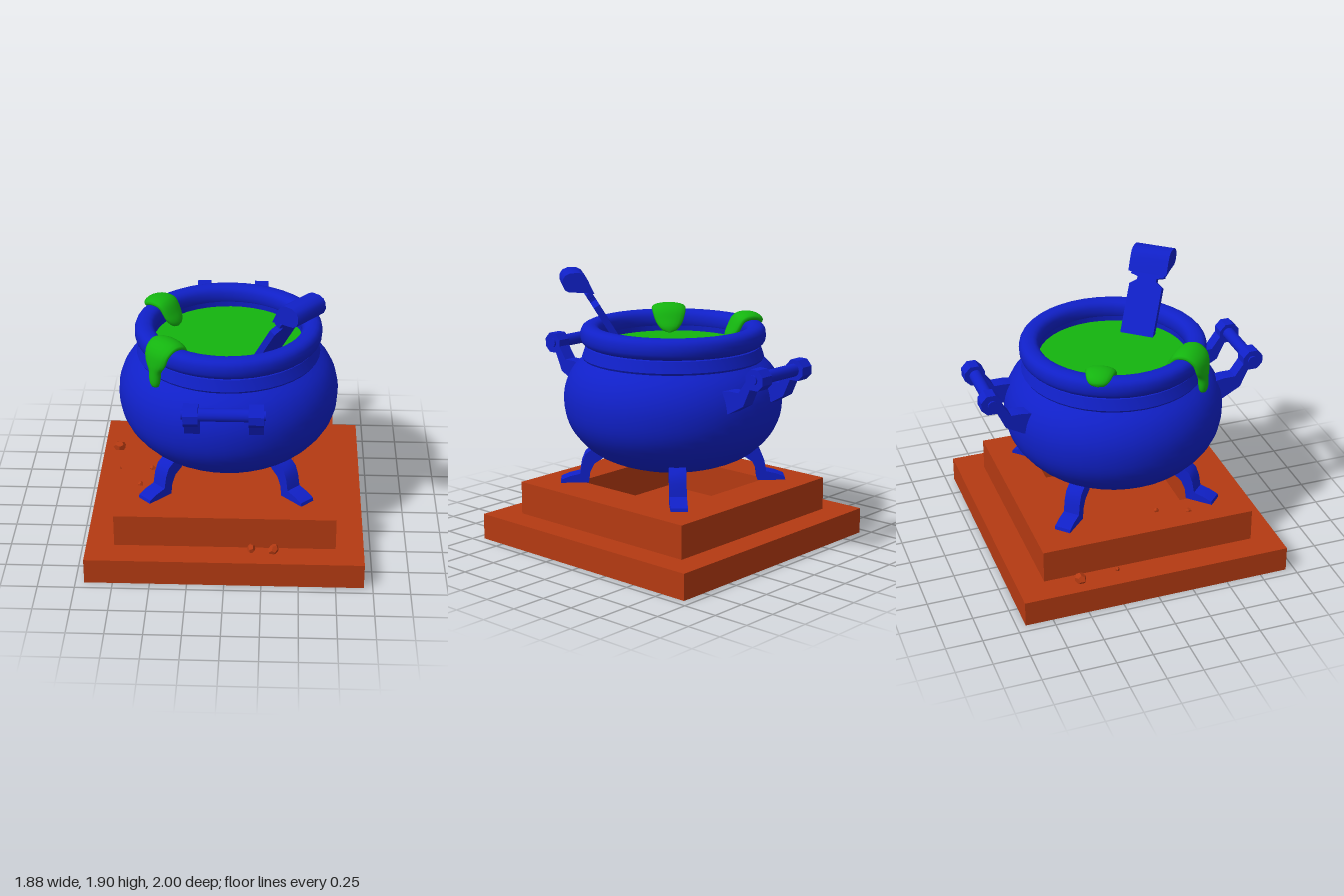
import * as THREE from 'three';
import { toCreasedNormals } from 'three/addons/utils/BufferGeometryUtils.js';

const blue = new THREE.MeshStandardMaterial({ color: 0x1020c8 });
const brown = new THREE.MeshStandardMaterial({ color: 0xb43a12 });
const green = new THREE.MeshStandardMaterial({ color: 0x14b40f });

const toPoints = (list) => list.map(([x, y]) => new THREE.Vector2(x, y));

function addMesh(parent, name, geometry, material) {
  const mesh = new THREE.Mesh(geometry, material);
  mesh.name = name;
  parent.add(mesh);
  return mesh;
}

// Outline in (outward, up), given a width and centred on it
function slab(outline, width, crease = 0.6) {
  const geo = new THREE.ExtrudeGeometry(new THREE.Shape(toPoints(outline)), { depth: width, bevelEnabled: false });
  geo.translate(0, 0, -width / 2);
  return toCreasedNormals(geo, crease);
}

function lathe(profile, smooth = true, crease = 0.7) {
  const pts = smooth
    ? new THREE.SplineCurve(toPoints(profile)).getPoints(28).map((p) => (p.x = Math.max(p.x, 0), p))
    : toPoints(profile);
  return toCreasedNormals(new THREE.LatheGeometry(pts, 40), crease);
}

// Rounded strip of slime swept along points of [radius, height, half width]
function drip(path, thickness) {
  const curve = new THREE.CatmullRomCurve3(path.map((p) => new THREE.Vector3(...p)));
  const rows = 32, sides = 16, pos = [], index = [];
  for (let i = 0; i <= rows; i++) {
    const t = i / rows, p = curve.getPoint(t), d = curve.getTangent(t);
    const len = Math.hypot(d.x, d.y) || 1;
    const nx = -d.y / len, ny = d.x / len;
    const round = Math.sqrt(Math.max(0, 1 - Math.abs(2 * t - 1) ** 8));
    for (let j = 0; j < sides; j++) {
      const a = (j / sides) * Math.PI * 2, h = Math.cos(a) * thickness * round;
      pos.push(p.x + nx * h, p.y + ny * h, Math.sin(a) * p.z * round);
      if (i === rows) continue;
      const k = i * sides + j, m = i * sides + ((j + 1) % sides);
      index.push(k, m, k + sides, m, m + sides, k + sides);
    }
  }
  const geo = new THREE.BufferGeometry();
  geo.setAttribute('position', new THREE.Float32BufferAttribute(pos, 3));
  geo.setIndex(index);
  geo.computeVertexNormals();
  return geo;
}

// Turns local +x towards the horizontal direction (x, z)
const face = (object, x, z) => { object.rotation.y = Math.atan2(-z, x); };

function addBase(root) {
  addMesh(root, 'lowerStep', new THREE.BoxGeometry(1.88, 0.18, 1.88).translate(0, 0.09, 0), brown);
  const square = (r) => toPoints([[-r, -r], [r, -r], [r, r], [-r, r]]);
  const shape = new THREE.Shape(square(0.75));
  shape.holes.push(new THREE.Path(square(0.46)));
  const step = new THREE.ExtrudeGeometry(shape, { depth: 0.23, bevelEnabled: false });
  addMesh(root, 'upperStep', step.rotateX(-Math.PI / 2).translate(0, 0.18, 0), brown);

  // Loose chips: x, y, z, size
  const stone = brown.clone();
  stone.flatShading = true;
  [[-0.83, 0.205, -0.52, 0.05], [-0.79, 0.185, -0.245, 0.02], [0.18, 0.2, 0.79, 0.036],
    [0.33, 0.2, 0.8, 0.045], [-0.6, 0.412, 0.34, 0.025], [-0.53, 0.412, 0.13, 0.025]].forEach(([x, y, z, s], i) => {
    const chip = addMesh(root, 'stoneChip', new THREE.DodecahedronGeometry(s, 0), stone);
    chip.position.set(x, y, z);
    chip.rotation.set(i, i * 2.1, i * 0.7);
    chip.scale.set(1, 0.75, 0.8);
  });
}

function addPot(root) {
  const pot = new THREE.Group();
  pot.name = 'pot';
  root.add(pot);
  addMesh(pot, 'body', lathe([[0, 0.51], [0.19, 0.528], [0.37, 0.565], [0.545, 0.64], [0.67, 0.757],
    [0.737, 0.88], [0.755, 1.02], [0.735, 1.136], [0.68, 1.235], [0.59, 1.315]]), blue);
  addMesh(pot, 'collar', lathe([[0.56, 1.29], [0.618, 1.29], [0.627, 1.305], [0.602, 1.38], [0.585, 1.388],
    [0.56, 1.388], [0.56, 1.42]], false), blue);

  // Fat rim with a slightly squared section
  const rim = [];
  for (let i = 0; i <= 20; i++) {
    const a = (i / 20) * Math.PI * 2 - Math.PI / 2;
    const soft = (v) => Math.sign(v) * Math.abs(v) ** 0.8;
    rim.push([0.569 + 0.069 * soft(Math.cos(a)), 1.456 + 0.072 * soft(Math.sin(a))]);
  }
  addMesh(pot, 'rim', lathe(rim, false, 1), blue);
  addMesh(pot, 'innerWall', lathe([[0.505, 1.46], [0.51, 1.36]], false), blue);
  addMesh(pot, 'liquid', new THREE.CircleGeometry(0.52, 40).rotateX(-Math.PI / 2).translate(0, 1.38, 0), green);

  // Four curved legs on the diagonals
  const leg = slab([[0.47, 0.66], [0.49, 0.59], [0.55, 0.55], [0.58, 0.49], [0.59, 0.415], [0.785, 0.415],
    [0.78, 0.438], [0.72, 0.462], [0.65, 0.478], [0.635, 0.56], [0.61, 0.62], [0.555, 0.66]], 0.115);
  for (const x of [-1, 1]) for (const z of [-1, 1]) face(addMesh(pot, 'leg', leg, blue), x, z);
}

function addHandles(root) {
  // Bracket with an eight-sided eye
  const bracket = slab([[0.66, 1.19], [0.66, 1.05], [0.715, 1.045], [0.84, 1.115], [0.895, 1.235],
    [0.96, 1.235], [1.0, 1.275], [1.0, 1.33], [0.96, 1.373], [0.9, 1.373], [0.86, 1.33], [0.86, 1.285],
    [0.8, 1.2], [0.72, 1.2]], 0.096, 0.3);
  for (const side of [1, -1]) {
    const handle = new THREE.Group();
    handle.name = side > 0 ? 'frontHandle' : 'backHandle';
    face(handle, 0, side);
    for (const x of [-0.209, 0.209]) addMesh(handle, 'bracket', bracket, blue).position.z = x;
    const bar = (r, l) => new THREE.CylinderGeometry(r, r, l, 16).rotateX(Math.PI / 2).translate(0.925, 1.305, 0);
    addMesh(handle, 'grip', bar(0.043, 0.4), blue);
    addMesh(handle, 'pin', bar(0.032, 0.54), blue);
    root.add(handle);
  }
}

function addPaddle(root) {
  const paddle = new THREE.Group();
  paddle.name = 'paddle';
  paddle.position.set(0.31, 0, 0.325);
  face(paddle, 0.77, 0.64);
  root.add(paddle);

  // Flat leaning shaft with a notch below its collar
  const half = [[0.12, -0.26], [0.12, 0.165], [0.07, 0.2], [0.07, 0.222], [0.12, 0.235], [0.12, 0.27], [0.09, 0.32]];
  const outline = [...half, ...half.map(([x, y]) => [-x, y]).reverse()];
  const shaft = slab(outline, 0.045, 0.3).rotateY(-Math.PI / 2).rotateZ(-0.548).translate(0, 1.525, 0);
  addMesh(paddle, 'shaft', shaft, blue);

  // Rolled head across the top
  addMesh(paddle, 'head', slab([[0.1, 1.755], [0.17, 1.765], [0.27, 1.77], [0.3, 1.785], [0.315, 1.82],
    [0.312, 1.86], [0.295, 1.885], [0.26, 1.9], [0.2, 1.9], [0.17, 1.885], [0.145, 1.85]], 0.28), blue);
}

function addSlime(root) {
  const front = drip([[0.41, 1.38, 0.07], [0.46, 1.45, 0.1], [0.51, 1.525, 0.12], [0.58, 1.54, 0.12],
    [0.64, 1.5, 0.11], [0.66, 1.43, 0.09], [0.665, 1.37, 0.05], [0.668, 1.31, 0.045], [0.668, 1.25, 0.045]], 0.034);
  face(addMesh(root, 'frontDrip', front, green), -0.7, 0.71);
  const back = drip([[0.4, 1.38, 0.06], [0.44, 1.45, 0.09], [0.49, 1.53, 0.1], [0.55, 1.545, 0.095],
    [0.61, 1.53, 0.08], [0.65, 1.495, 0.06]], 0.034);
  face(addMesh(root, 'backDrip', back, green), -0.88, -0.47);
}

export function createModel() {
  const root = new THREE.Group();
  root.name = 'cauldron';
  addBase(root);
  addPot(root);
  addHandles(root);
  addPaddle(root);
  addSlime(root);
  return root;
}
